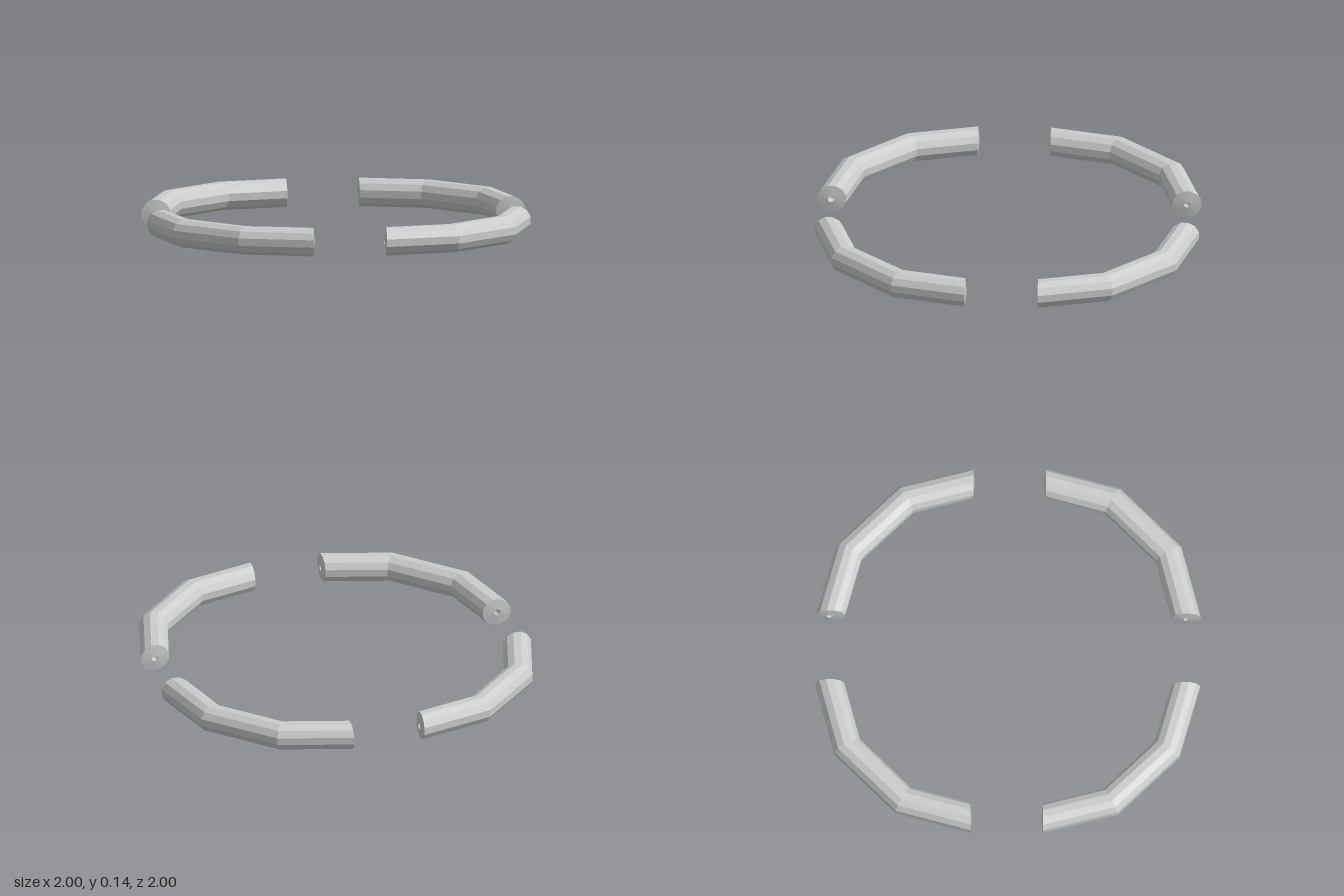
import * as THREE from 'three';

const SIDES = 12;
const APOTHEM = 0.0725;
const RADIUS = APOTHEM / Math.cos(Math.PI / SIDES);
const MITRE = 1 / Math.cos(Math.PI / 12);

// One ring: centre (x, z), mitre angle measured from +z towards +x, radius
const ring = (x, z, degrees, r) => ({ x, z, a: THREE.MathUtils.degToRad(degrees), r });

function quarterTubeGeometry() {
  // Blind hole, raised cap, rim and bend; the second half mirrors the first
  const half = [
    ring(0.225, 0.918, 0, 0),
    ring(0.225, 0.918, 0, 0.017),
    ring(0.183, 0.929, 0, 0.017),
    ring(0.19, 0.927, 0, RADIUS),
    ring(0.54, 0.833, 30, RADIUS),
  ];
  const mirrored = half.map(({ x, z, a, r }) => ({ x: z, z: x, a: Math.PI / 2 - a, r })).reverse();
  const rings = [...half, ...mirrored];

  const positions = [];
  for (const { x, z, a, r } of rings) {
    for (let j = 0; j < SIDES; j++) {
      const t = ((j + 0.5) / SIDES) * Math.PI * 2;
      const out = r * Math.cos(t) * MITRE;
      positions.push(x + out * Math.sin(a), APOTHEM + r * Math.sin(t), z + out * Math.cos(a));
    }
  }
  const index = [];
  for (let i = 0; i < rings.length - 1; i++) {
    for (let j = 0; j < SIDES; j++) {
      const k = (j + 1) % SIDES;
      const a = i * SIDES + j, b = i * SIDES + k;
      const c = a + SIDES, d = b + SIDES;
      if (rings[i].r > 0) index.push(a, c, b);
      if (rings[i + 1].r > 0) index.push(b, c, d);
    }
  }
  const indexed = new THREE.BufferGeometry();
  indexed.setAttribute('position', new THREE.Float32BufferAttribute(positions, 3));
  indexed.setIndex(index);
  const geometry = indexed.toNonIndexed();
  geometry.computeVertexNormals();
  return geometry;
}

export function createModel() {
  const group = new THREE.Group();
  group.name = 'segmentedRing';
  const material = new THREE.MeshStandardMaterial({ color: 0xcccccc, flatShading: true });
  const geometry = quarterTubeGeometry();

  // Four identical bent tubes around the centre
  const names = ['frontLeftTube', 'backLeftTube', 'backRightTube', 'frontRightTube'];
  names.forEach((name, i) => {
    const tube = new THREE.Mesh(geometry, material);
    tube.name = name;
    tube.rotation.y = (i * Math.PI) / 2;
    group.add(tube);
  });
  return group;
}
